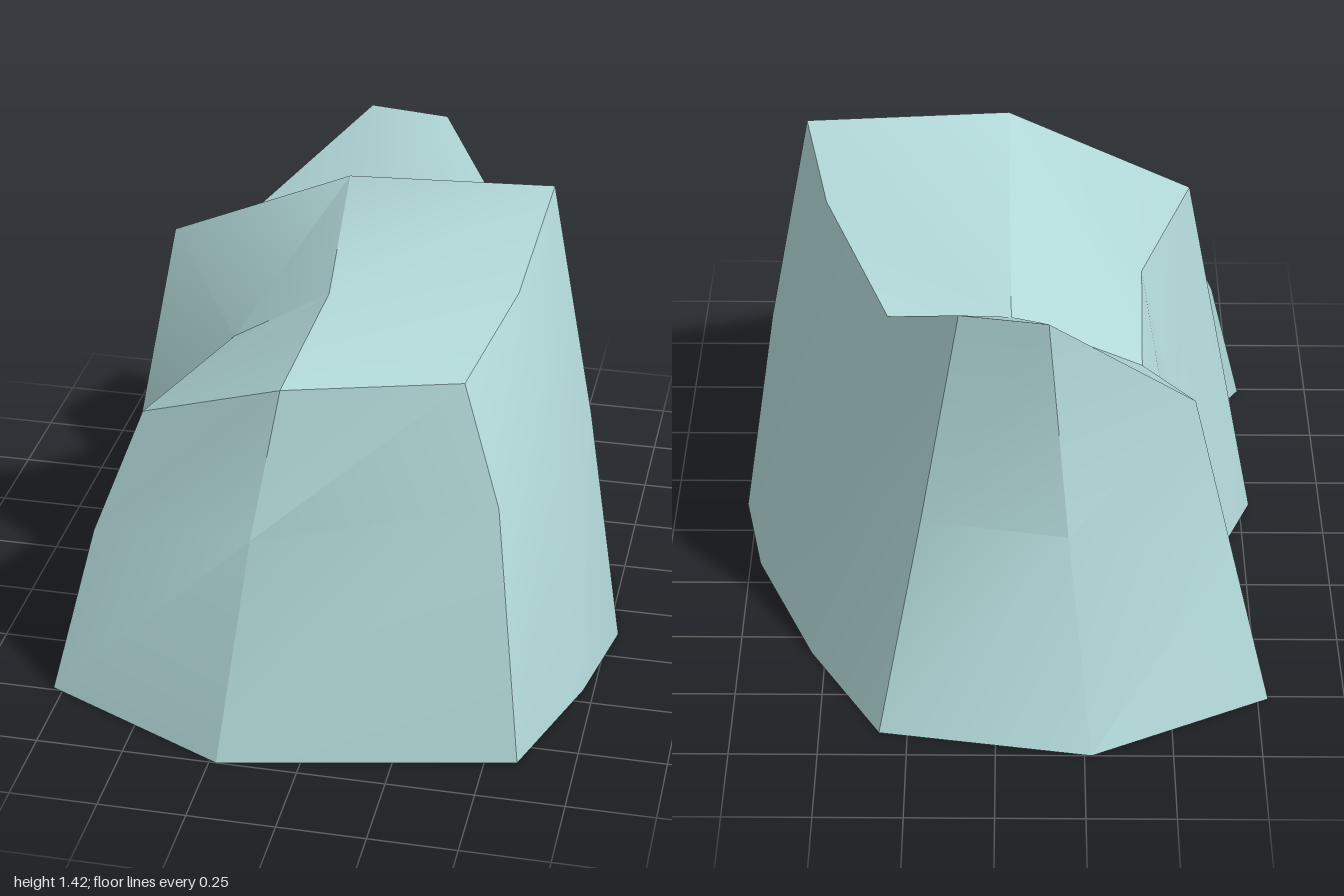
import * as THREE from 'three';
import { toCreasedNormals } from 'three/addons/utils/BufferGeometryUtils.js';

// Upright ribs around the rock, counter-clockwise from the front: foot (x, z), bend and rim (x, y, z)
const ribs = [
  { foot: [-0.78, 0.74], bend: [-0.67, 0.48, 0.63], rim: [-0.55, 0.81, 0.5] },
  { foot: [-0.23, 1.0], bend: [-0.17, 0.61, 0.8], rim: [-0.1, 1.04, 0.71] },
  { foot: [0.59, 0.83], bend: [0.5, 0.73, 0.69], rim: [0.38, 1.04, 0.57] },
  { foot: [0.72, 0.44], bend: [0.61, 0.72, 0.38], rim: [0.48, 1.19, 0.3] },
  { foot: [0.78, 0.13], bend: [0.67, 0.73, 0.11], rim: [0.54, 1.42, 0.08] },
  { foot: [0.72, -0.16], bend: [0.6, 0.64, -0.13], rim: [0.48, 1.27, -0.11] },
  { foot: [0.54, -0.57], bend: [0.4, 0.59, -0.48], rim: [0.3, 1.1, -0.43] },
  { foot: [0.33, -0.91], bend: [0.21, 0.59, -0.69], rim: [0.1, 1.27, -0.67] },
  { foot: [-0.27, -1.0], bend: [-0.2, 0.59, -0.76], rim: [-0.14, 1.27, -0.71] },
  { foot: [-0.78, -0.76], rim: [-0.55, 0.89, -0.53] },
  { foot: [-0.65, -0.47], rim: [-0.41, 0.86, -0.32] },
  { foot: [-0.65, -0.16], rim: [-0.41, 1.04, -0.11] },
  { foot: [-0.78, 0.14], rim: [-0.55, 1.19, 0.1] },
  { foot: [-0.57, 0.44], rim: [-0.33, 0.97, 0.3] },
];

// Points inside the rim: peak, ledge behind the front step, and saddle at the back
const peak = [-0.03, 1.42, 0.13];
const ledge = [-0.03, 1.19, 0.41];
const saddle = [-0.04, 1.1, -0.43];

export function createModel() {
  const group = new THREE.Group();
  group.name = 'rock';
  const stone = new THREE.MeshStandardMaterial({ color: 0xb2d8d8, side: THREE.DoubleSide });
  stone.name = 'paleTealStone';

  const positions = [];
  const addFace = (points) => {
    for (let i = 1; i < points.length - 1; i++) {
      positions.push(...points[0], ...points[i], ...points[i + 1]);
    }
  };

  // Sides: a lower and an upper panel between neighbouring ribs, open underneath
  const lines = ribs.map(({ foot, bend, rim }) => {
    const base = [foot[0], 0, foot[1]];
    return [base, bend ?? base.map((v, i) => (v + rim[i]) / 2), rim];
  });
  lines.forEach((line, i) => {
    const next = lines[(i + 1) % lines.length];
    for (let k = 0; k < 2; k++) addFace([line[k], next[k], next[k + 1], line[k + 1]]);
  });

  // Crown: front step, steep rise, sloping top and back crest
  const r = ribs.map((rib) => rib.rim);
  addFace([r[0], r[1], ledge, r[13]]);
  addFace([r[1], r[2], r[3], ledge]);
  addFace([ledge, r[3], r[4], peak]);
  addFace([r[13], ledge, peak, r[12]]);
  addFace([saddle, peak, r[4], r[5], r[6]]);
  addFace([peak, saddle, r[10], r[11], r[12]]);
  addFace([saddle, r[6], r[7], r[8]]);
  addFace([saddle, r[8], r[9], r[10]]);

  const geometry = new THREE.BufferGeometry();
  geometry.setAttribute('position', new THREE.Float32BufferAttribute(positions, 3));
  const mesh = new THREE.Mesh(toCreasedNormals(geometry, 0.52), stone);
  mesh.name = 'rockShell';
  group.add(mesh);
  return group;
}
